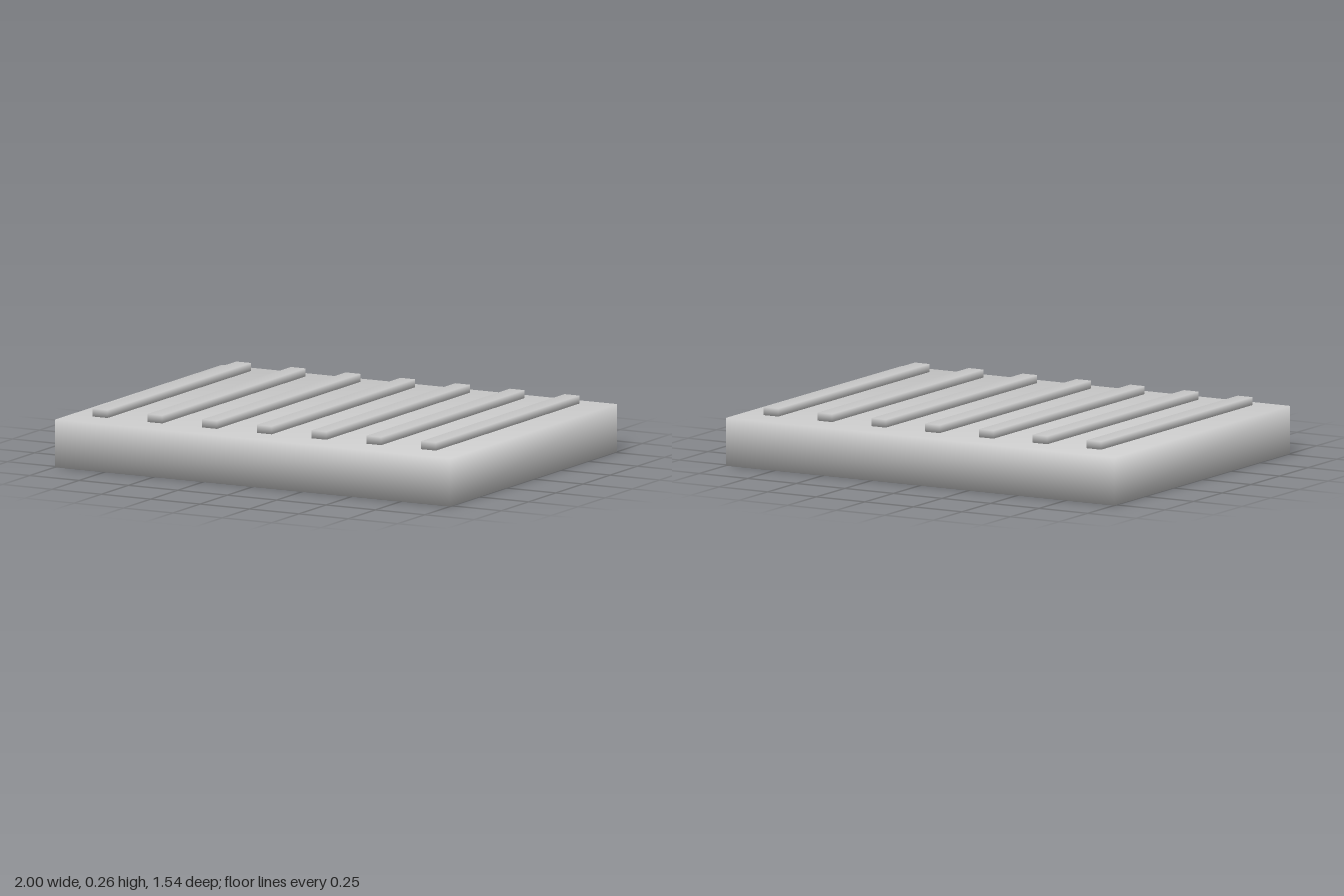
import * as THREE from 'three';
import { mergeVertices } from 'three/addons/utils/BufferGeometryUtils.js';

// Box whose corners are shared, so shading runs smoothly over every edge
function smoothBox(width, height, depth) {
  const box = new THREE.BoxGeometry(width, height, depth);
  box.deleteAttribute('normal');
  box.deleteAttribute('uv');
  const geometry = mergeVertices(box);
  geometry.computeVertexNormals();
  return geometry;
}

export function createModel() {
  const model = new THREE.Group();
  model.name = 'ribbedSlab';
  const grey = new THREE.MeshStandardMaterial({ color: 0xcccccc });
  grey.name = 'grey';

  // Base slab
  const slab = new THREE.Mesh(smoothBox(2, 0.215, 1.536), grey);
  slab.name = 'slab';
  slab.position.y = 0.1075;
  model.add(slab);

  // Seven parallel bars just above the slab
  const barGeometry = smoothBox(0.075, 0.036, 1.32);
  for (let i = -3; i <= 3; i++) {
    const bar = new THREE.Mesh(barGeometry, grey);
    bar.name = `bar${i + 4}`;
    bar.position.set(i * 0.277, 0.241, 0);
    model.add(bar);
  }
  return model;
}
